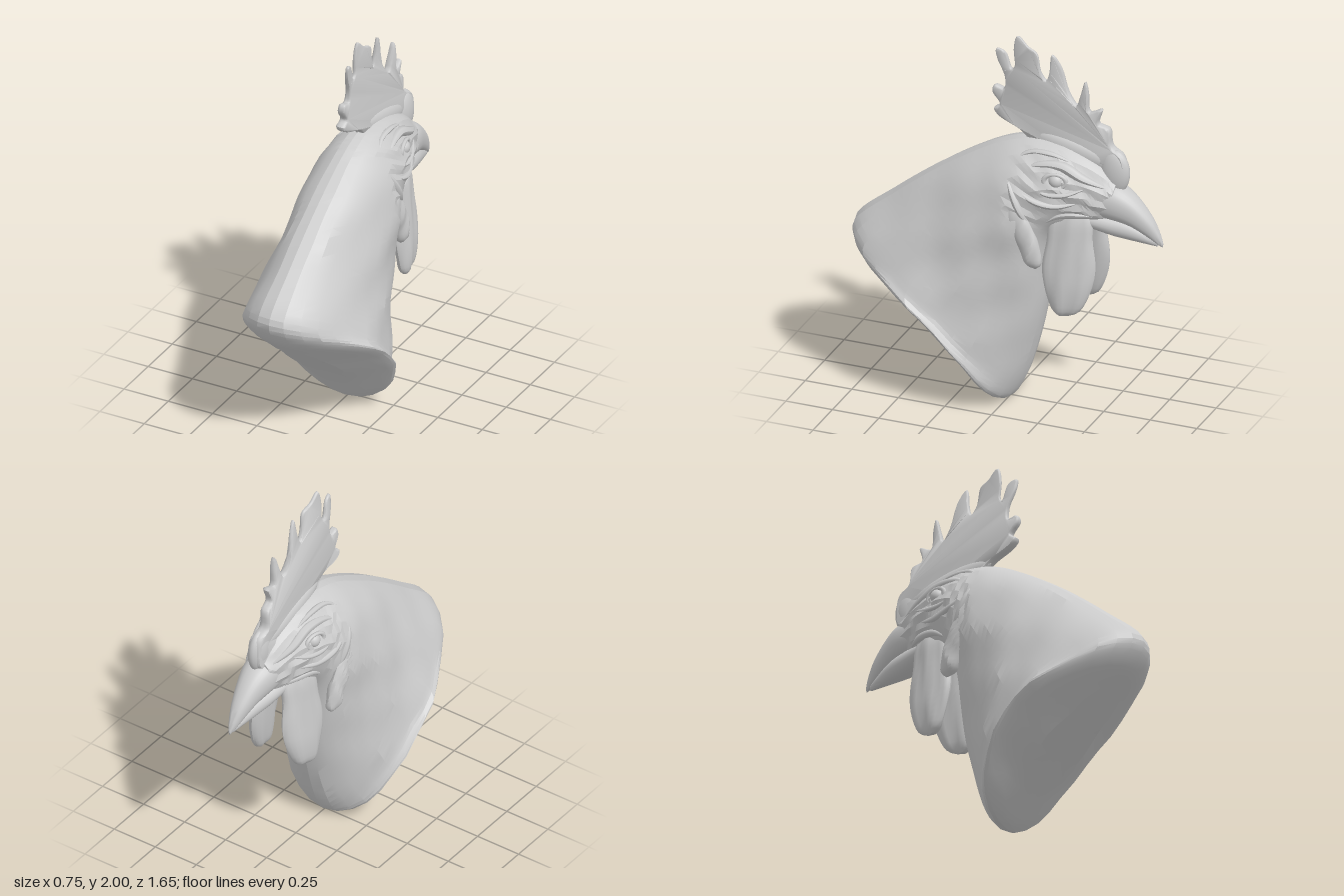
import * as THREE from 'three';
import { toCreasedNormals } from 'three/addons/utils/BufferGeometryUtils.js';

const material = new THREE.MeshStandardMaterial({ color: 0xcccccc, roughness: 0.8 });

// Catmull-Rom sample of rows of numbers
function sample(rows, t) {
  const f = t * (rows.length - 1), i = Math.min(Math.floor(f), rows.length - 2), u = f - i;
  const at = k => rows[Math.max(0, Math.min(rows.length - 1, k))];
  return rows[i].map((b, c) => {
    const a = at(i - 1)[c], d = at(i + 1)[c], e = at(i + 2)[c];
    return b + 0.5 * u * (d - a + u * (2 * a - 5 * b + 4 * d - e + u * (3 * (b - d) + e - a)));
  });
}

// Closed skin over oval sections; each row is
// [front z, front y, back z, back y, half width, x centre, bow of the sides].
// A backPower above 1 sharpens the back into a ridge.
function loft(rows, { steps = 20, sides = 24, power = 1, backPower = power, crease = 0.7, bump } = {}) {
  const pos = [], index = [];
  const shape = (v, e) => Math.sign(v) * Math.pow(Math.abs(v), e);
  for (let i = 0; i <= steps; i++) {
    const [zf, yf, zb, yb, w, x0, bow] = sample(rows, i / steps);
    const dz = (zb - zf) / 2, dy = (yb - yf) / 2, len = Math.hypot(dz, dy);
    for (let j = 0; j < sides; j++) {
      const a = j / sides * Math.PI * 2, cos = Math.cos(a);
      const s = shape(Math.sin(a), power), c = shape(cos, cos < 0 ? backPower : power);
      const lift = bow * s * s / len;
      const p = new THREE.Vector3(x0 + w * s, (yf + yb) / 2 - dy * c + dz * lift, (zf + zb) / 2 - dz * c - dy * lift);
      if (bump) p.x += s * bump(p);
      pos.push(p.x, p.y, p.z);
    }
  }
  for (let i = 0; i < steps; i++) for (let j = 0; j < sides; j++) {
    const k = (j + 1) % sides, a = i * sides + j, b = i * sides + k;
    index.push(a, a + sides, b, b, a + sides, b + sides);
  }
  // End caps
  for (const [row, flip] of [[0, false], [steps, true]]) {
    const base = row * sides, mid = pos.length / 3, m = [0, 0, 0];
    for (let j = 0; j < sides; j++) for (let c = 0; c < 3; c++) m[c] += pos[(base + j) * 3 + c] / sides;
    pos.push(...m);
    for (let j = 0; j < sides; j++) {
      const a = base + j, b = base + (j + 1) % sides;
      index.push(mid, flip ? b : a, flip ? a : b);
    }
  }
  const g = new THREE.BufferGeometry();
  g.setAttribute('position', new THREE.Float32BufferAttribute(pos, 3));
  g.setIndex(index);
  return toCreasedNormals(g, crease);
}

export function createModel() {
  const model = new THREE.Group();
  const add = (name, geometry) => {
    const mesh = new THREE.Mesh(geometry, material);
    mesh.name = name;
    model.add(mesh);
    return mesh;
  };

  // Neck and head in one skin, from the slanted cut base to the forehead;
  // wrinkled on the face, softly dented on the neck
  const skin = p => {
    const face = THREE.MathUtils.smoothstep(-p.z, -0.02, 0.12) * THREE.MathUtils.smoothstep(p.y, 1.0, 1.15);
    return 0.007 * face * Math.sin(p.y * 80 + Math.sin(p.z * 20) * 2.5)
      + 0.011 * (1 - face) * Math.sin(p.z * 14 + p.y * 9) * Math.sin(p.y * 13 - p.z * 8);
  };
  const head = add('neckAndHead', loft([
    [0.16, 0.145, 0.66, 0.585, 0.15, 0, 0.03],
    [0.02, 0.00, 0.79, 0.71, 0.37, 0, 0.16],
    [-0.07, 0.09, 0.825, 0.85, 0.34, 0, 0.10],
    [-0.15, 0.33, 0.62, 1.03, 0.29, 0, 0.03],
    [-0.20, 0.58, 0.40, 1.20, 0.26, 0, 0],
    [-0.22, 0.80, 0.20, 1.33, 0.245, 0, 0],
    [-0.27, 0.95, 0.03, 1.42, 0.215, 0, 0],
    [-0.38, 1.03, -0.12, 1.46, 0.185, 0, 0],
    [-0.47, 1.05, -0.30, 1.45, 0.15, 0, 0],
    [-0.53, 1.07, -0.46, 1.39, 0.112, 0, 0],
    [-0.57, 1.09, -0.58, 1.30, 0.08, 0, 0],
  ], { steps: 50, sides: 30, backPower: 1.22, crease: 0.3, bump: skin }));

  // Upper and lower beak, closed along the mouth line
  add('upperBeak', loft([
    [-0.44, 1.09, -0.44, 1.29, 0.10, 0, 0],
    [-0.56, 1.08, -0.58, 1.27, 0.09, 0, 0],
    [-0.65, 1.06, -0.67, 1.215, 0.068, 0, 0],
    [-0.73, 1.02, -0.755, 1.12, 0.043, 0, 0],
    [-0.79, 0.98, -0.80, 1.04, 0.02, 0, 0],
    [-0.815, 0.965, -0.82, 0.985, 0.004, 0, 0],
  ], { power: 0.85 }));
  add('lowerBeak', loft([
    [-0.42, 1.03, -0.40, 1.14, 0.10, 0, 0],
    [-0.55, 0.995, -0.54, 1.12, 0.08, 0, 0],
    [-0.66, 0.98, -0.66, 1.085, 0.054, 0, 0],
    [-0.79, 0.966, -0.79, 1.0, 0.012, 0, 0],
  ]));

  // Comb: serrated wavy blade, thicker at the root; points are [z, y]
  const outline = new THREE.SplineCurve([
    [-0.12, 1.42], [-0.06, 1.49], [0.05, 1.53], [0.085, 1.57], [0.05, 1.60], [0.09, 1.66], [0.08, 1.70],
    [0.03, 1.69], [0.025, 1.76], [0.06, 1.85], [0.065, 1.91], [0.02, 1.89], [-0.005, 1.81], [-0.03, 1.83],
    [-0.025, 1.92], [-0.045, 1.995], [-0.10, 1.95], [-0.155, 1.92], [-0.17, 1.83], [-0.2, 1.78], [-0.22, 1.83],
    [-0.235, 1.93], [-0.28, 1.86], [-0.31, 1.74], [-0.36, 1.67], [-0.385, 1.73], [-0.41, 1.81], [-0.425, 1.75],
    [-0.43, 1.65], [-0.495, 1.67], [-0.475, 1.59], [-0.53, 1.56], [-0.54, 1.47], [-0.60, 1.43], [-0.62, 1.36],
    [-0.61, 1.27], [-0.55, 1.25], [-0.45, 1.34], [-0.3, 1.40],
  ].map(([z, y]) => new THREE.Vector2(-z, y)));
  const comb = new THREE.ExtrudeGeometry(new THREE.Shape(outline.getPoints(150)), {
    depth: 0.012, bevelEnabled: true, bevelThickness: 0.016, bevelSize: 0.008, bevelOffset: -0.006, bevelSegments: 2,
  });
  comb.translate(0, 0, -0.006).rotateY(Math.PI / 2);
  const cp = comb.attributes.position;
  for (let i = 0; i < cp.count; i++) {
    const y = cp.getY(i), z = cp.getZ(i);
    const thick = THREE.MathUtils.clamp(1.5 - (y - 1.4) * 2.2, 0.45, 1.5);
    cp.setX(i, cp.getX(i) * thick + (y - 1.45) * 0.06 - 0.005 + 0.009 * Math.sin(z * 20 + y * 6));
  }
  comb.deleteAttribute('normal');
  comb.deleteAttribute('uv');
  add('comb', toCreasedNormals(comb, 0.8));

  // Rounded front lobe of the comb and its swollen root
  add('combFrontLobe', new THREE.SphereGeometry(1, 20, 14).scale(0.045, 0.12, 0.08)).position.set(0, 1.335, -0.56);
  const root = add('combRoot', new THREE.SphereGeometry(1, 24, 14).scale(0.045, 0.065, 0.27));
  root.position.set(-0.005, 1.42, -0.33);
  root.rotation.x = -0.25;

  // Skin folds are tapered tubes half sunk in the face; points are [z, y]
  const ray = new THREE.Raycaster();
  head.updateMatrixWorld();
  const onSkin = (s, z, y, sink = 0) => {
    ray.set(new THREE.Vector3(s, y, z), new THREE.Vector3(-s, 0, 0));
    const hit = ray.intersectObject(head)[0];
    return new THREE.Vector3((hit ? hit.point.x : s * 0.08) - s * sink, y, z);
  };
  const fold = (name, s, points, r) => {
    const path = new THREE.CatmullRomCurve3(points.map(([z, y]) => onSkin(s, z, y, r * 0.35)));
    const g = new THREE.TubeGeometry(path, 24, r, 7);
    const p = g.attributes.position;
    for (let i = 0; i < p.count; i++) {
      const t = Math.floor(i / 8) / 24, c = path.getPointAt(t), k = 0.15 + 0.85 * Math.sin(Math.PI * t);
      p.setXYZ(i, c.x + (p.getX(i) - c.x) * k, c.y + (p.getY(i) - c.y) * k, c.z + (p.getZ(i) - c.z) * k);
    }
    g.computeVertexNormals();
    add(name, g);
  };

  for (const [s, side] of [[1, 'left'], [-1, 'right']]) {
    // Eye with a ring of lids
    add(side + 'Eye', new THREE.SphereGeometry(0.04, 20, 14)).position.copy(onSkin(s, -0.3, 1.3, 0.018));
    const lid = add(side + 'Eyelid', new THREE.TorusGeometry(0.045, 0.011, 8, 28));
    lid.position.copy(onSkin(s, -0.3, 1.3, 0.002));
    lid.rotation.y = s * (Math.PI / 2 + 0.2);
    lid.scale.set(1.25, 0.85, 1);

    // Brow, cheek and ear folds
    fold(side + 'Brow', s, [[-0.12, 1.33], [-0.2, 1.365], [-0.32, 1.365], [-0.43, 1.315], [-0.56, 1.26]], 0.028);
    fold(side + 'CrownFold', s, [[-0.06, 1.36], [-0.14, 1.41], [-0.25, 1.415], [-0.38, 1.38]], 0.016);
    fold(side + 'LowerLidFold', s, [[-0.18, 1.28], [-0.25, 1.235], [-0.35, 1.235], [-0.45, 1.27]], 0.014);
    fold(side + 'CheekFold', s, [[-0.1, 1.25], [-0.19, 1.195], [-0.3, 1.17], [-0.42, 1.19]], 0.018);
    fold(side + 'MouthFold', s, [[-0.24, 1.06], [-0.32, 1.11], [-0.42, 1.12], [-0.52, 1.10]], 0.022);
    fold(side + 'EarFold', s, [[-0.05, 1.3], [-0.09, 1.22], [-0.14, 1.12], [-0.19, 1.03]], 0.02);

    // Earlobe hanging behind the cheek
    add(side + 'Earlobe', loft([
      [-0.215, 0.82, -0.18, 0.825, 0.01, s * 0.19, 0],
      [-0.245, 0.86, -0.15, 0.86, 0.035, s * 0.19, 0],
      [-0.225, 0.97, -0.11, 0.96, 0.036, s * 0.195, 0],
      [-0.17, 1.09, -0.04, 1.08, 0.028, s * 0.20, 0],
      [-0.09, 1.20, -0.01, 1.18, 0.012, s * 0.20, 0],
    ], { sides: 14, bump: p => 0.006 * Math.sin(p.z * 70 + p.y * 30) }));

    // Wattle, a flat drop with its front edge turned inward; z is relative to its own axis
    const wattle = add(side + 'Wattle', loft([
      [0.0, 0.56, 0.05, 0.562, 0.012, s * 0.01, 0],
      [-0.067, 0.60, 0.087, 0.60, 0.032, s * 0.01, 0],
      [-0.12, 0.72, 0.12, 0.70, 0.042, s * 0.005, 0],
      [-0.137, 0.84, 0.136, 0.82, 0.042, s * -0.005, 0],
      [-0.12, 0.97, 0.115, 0.95, 0.04, s * -0.015, 0],
      [-0.118, 1.07, 0.105, 1.06, 0.04, s * -0.025, 0],
      [-0.085, 1.13, 0.06, 1.13, 0.02, s * -0.025, 0],
    ], { sides: 22, bump: p => 0.007 * Math.sin(p.z * 60 + p.y * 8) }));
    wattle.position.set(s * 0.12, 0, -0.36);
    wattle.rotation.y = s * 0.17;
  }
  return model;
}
